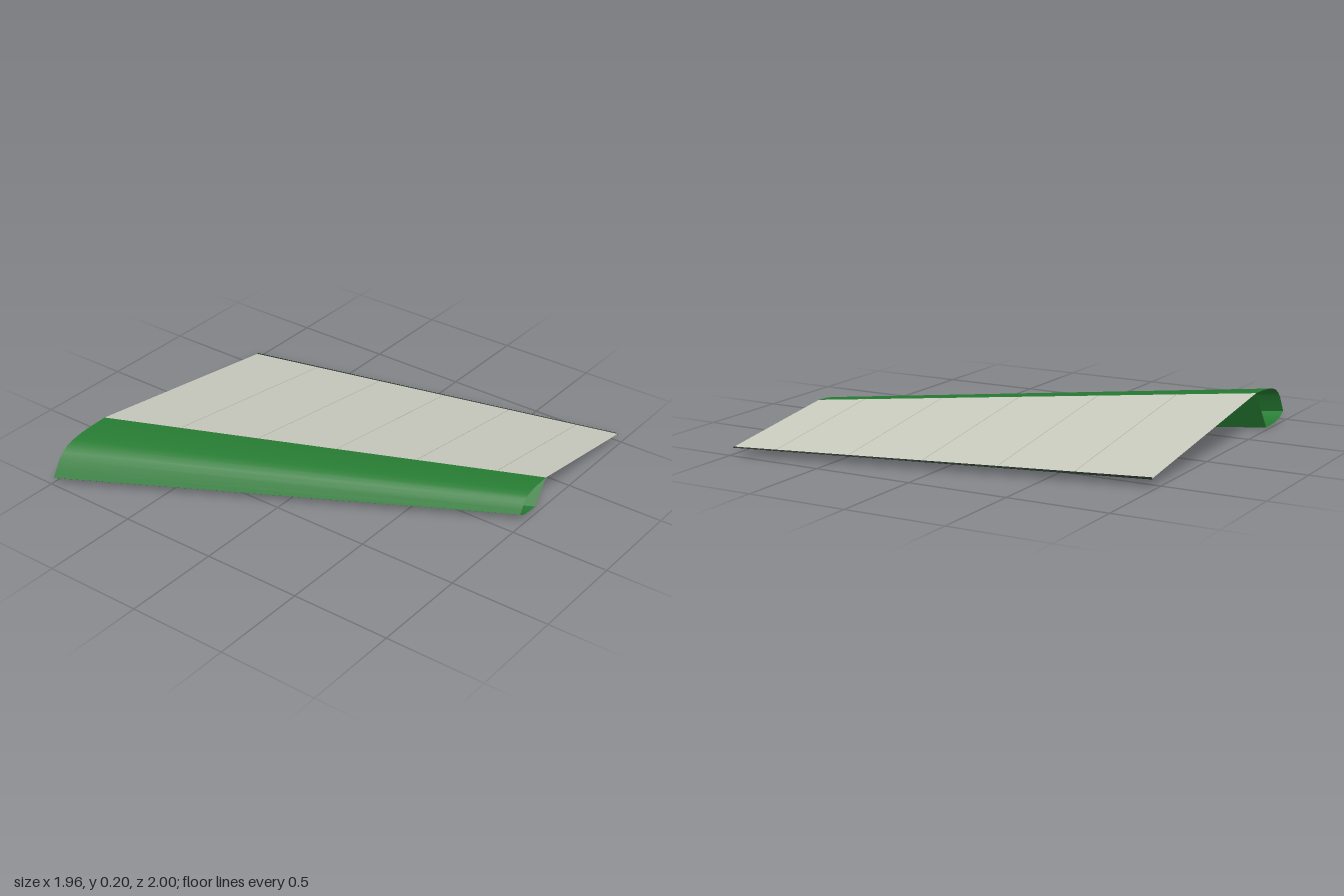
import * as THREE from 'three';

const green = new THREE.MeshStandardMaterial({ color: 0x267a32, side: THREE.DoubleSide });
green.name = 'green skin';
const fabric = new THREE.MeshStandardMaterial({ color: 0xc8cabe, side: THREE.DoubleSide });
fabric.name = 'pale grey covering';
const seamGrey = new THREE.MeshStandardMaterial({ color: 0xa9aba0, side: THREE.DoubleSide });
seamGrey.name = 'seam grey';
const dark = new THREE.MeshStandardMaterial({ color: 0x1c2a20, side: THREE.DoubleSide });
dark.name = 'dark edge';

const HALF = 0.98, EDGE_Y = 0.042;
const ROOT_CHORD = 1.55, TIP_CHORD = 0.91;

// Section offsets at the root: distance behind the leading edge, height
const UPPER = [[0, 0], [0.02, 0.035], [0.05, 0.085], [0.075, 0.109], [0.107, 0.13],
  [0.145, 0.143], [0.19, 0.152], [0.25, 0.158], [0.31, 0.1605], [0.37, 0.162]];
const LOWER = [[0.225, -0.042], [0.16, -0.041], [0.1, -0.037], [0.06, -0.03], [0.03, -0.018], [0, 0]];
const RIDGE = UPPER[UPPER.length - 1], FOOT = LOWER[0], TRAIL = [ROOT_CHORD, 0];

// Place a section point at a span position; sections taper and sweep linearly
function place([back, up], x, lift = 0) {
  const t = (x + HALF) / (2 * HALF);
  const scale = THREE.MathUtils.lerp(1, TIP_CHORD / ROOT_CHORD, t);
  const lead = THREE.MathUtils.lerp(1, -0.09, t);
  return [x, EDGE_Y + up * scale + lift, lead - back * scale];
}

// Ruled skin through a profile, from one span position to another
function skin(name, profile, material, xs = [-HALF, HALF], lift = 0) {
  const pos = [], index = [], n = profile.length;
  for (const x of xs) for (const p of profile) pos.push(...place(p, x, lift));
  for (let s = 0; s < xs.length - 1; s++) {
    for (let i = 0; i < n - 1; i++) {
      const a = s * n + i, b = a + n;
      index.push(a, b, a + 1, b, b + 1, a + 1);
    }
  }
  const g = new THREE.BufferGeometry();
  g.setAttribute('position', new THREE.Float32BufferAttribute(pos, 3));
  g.setIndex(index);
  g.computeVertexNormals();
  const mesh = new THREE.Mesh(g, material);
  mesh.name = name;
  return mesh;
}

export function createModel() {
  const wing = new THREE.Group();
  wing.name = 'wingPanel';

  // Hollow leading edge, open at both ends
  const nose = new THREE.Group();
  nose.name = 'leadingEdge';
  nose.add(
    skin('upperNoseSkin', UPPER, green),
    skin('sparWall', [RIDGE, FOOT], green),
    skin('lowerNoseSkin', LOWER, green));
  wing.add(nose);

  // Thin covering from the ridge to the trailing edge, split at the ribs
  const ribs = [-0.63, -0.28, 0.07, 0.42, 0.77];
  wing.add(skin('covering', [RIDGE, TRAIL], fabric, [-HALF, ...ribs, HALF]));
  for (const x of ribs) {
    wing.add(skin('ribSeam', [RIDGE, TRAIL], seamGrey, [x - 0.002, x + 0.002], 0.001));
  }

  // Fine dark strip closing the trailing edge
  const strip = [[1.538, 0.004], [1.55, 0.002], [1.55, -0.003], [1.538, -0.003]];
  wing.add(skin('trailingEdge', strip, dark));
  return wing;
}
